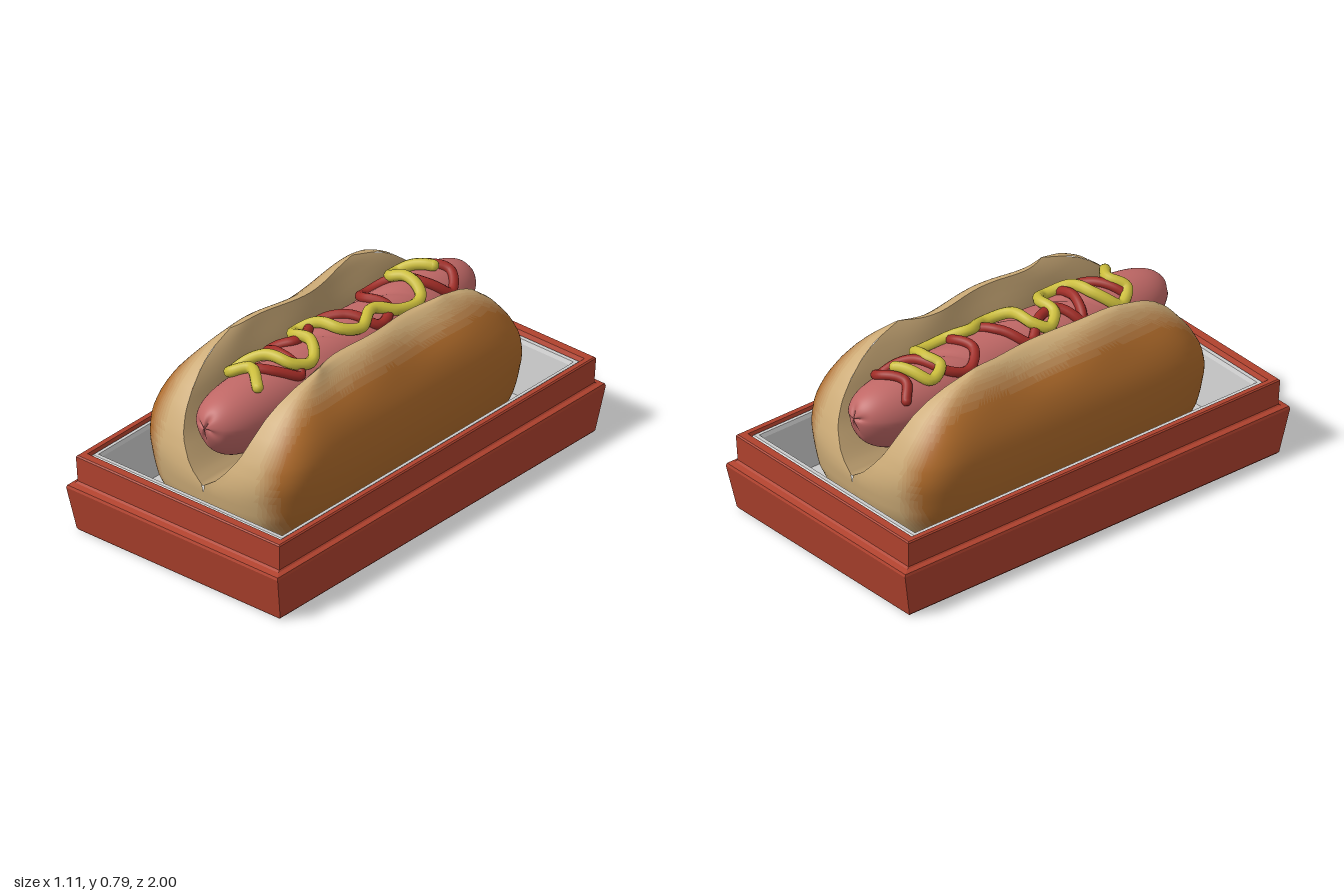
import * as THREE from 'three';

const paint = (color, extra = {}) => new THREE.MeshStandardMaterial({ color, ...extra });

// Surface from rows x cols points; the front side is (row direction) x (column direction).
function grid(rows, cols, wrap, at) {
  const pos = [], index = [];
  for (let i = 0; i < rows; i++) for (let j = 0; j < cols; j++) pos.push(...at(i, j));
  for (let i = 0; i < rows - 1; i++) {
    for (let j = 0; j < (wrap ? cols : cols - 1); j++) {
      const k = (j + 1) % cols;
      const a = i * cols + j, b = a + cols, c = (i + 1) * cols + k, d = i * cols + k;
      index.push(a, b, d, b, c, d);
    }
  }
  const g = new THREE.BufferGeometry();
  g.setAttribute('position', new THREE.Float32BufferAttribute(pos, 3));
  g.setIndex(index);
  g.computeVertexNormals();
  return g;
}

// Piecewise linear lookup in [x, y] pairs sorted by x.
function lookup(table, x) {
  if (x <= table[0][0]) return table[0][1];
  for (let i = 1; i < table.length; i++) {
    const [x0, y0] = table[i - 1], [x1, y1] = table[i];
    if (x <= x1) return y0 + (y1 - y0) * (x - x0) / (x1 - x0);
  }
  return table[table.length - 1][1];
}

const smooth = (pts, n) => new THREE.CatmullRomCurve3(
  pts.map(([x, y]) => new THREE.Vector3(x, y, 0)), false, 'centripetal').getPoints(n).map(p => [p.x, p.y]);

function part(parent, name, geometry, material) {
  const mesh = new THREE.Mesh(geometry, material);
  mesh.name = name;
  parent.add(mesh);
  return mesh;
}

// Rectangular rings [half width, half length, height], joined in order.
const CORNERS = [[1, 1], [-1, 1], [-1, -1], [1, -1]];
const rectLoft = rings => grid(rings.length, 4, true, (i, j) =>
  [CORNERS[j][0] * rings[i][0], rings[i][2], CORNERS[j][1] * rings[i][1]]);

function makeTray() {
  const tray = new THREE.Group();
  tray.name = 'tray';
  const red = paint(0xb0422e, { flatShading: true });
  const grey = paint(0xcccccc, { flatShading: true });
  part(tray, 'trayWalls', rectLoft([
    [0.505, 0.93, 0.03], [0.505, 0.93, 0], [0.528, 0.955, 0], [0.535, 0.96, 0.008],
    [0.556, 1, 0.205], [0.553, 0.996, 0.216], [0.535, 0.97, 0.222], [0.53, 0.96, 0.228],
    [0.535, 0.965, 0.34], [0.53, 0.96, 0.346], [0.508, 0.925, 0.346], [0.502, 0.915, 0.325]]), red);
  part(tray, 'trayBottom', rectLoft([[0, 0, 0.008], [0.49, 0.912, 0.008], [0.49, 0.912, 0.03]]), red);
  part(tray, 'bottomGroove', rectLoft([[0.48, 0.9, 0.02], [0.51, 0.935, 0.02]]), grey);
  part(tray, 'liner', rectLoft([
    [0.503, 0.917, 0.325], [0.497, 0.905, 0.337], [0.483, 0.888, 0.337], [0.477, 0.88, 0.32],
    [0.455, 0.845, 0.1], [0, 0, 0.1]]), grey);
  return tray;
}

// Bun: outer crust profile and inner cut profile, both from the middle out to the lip
const CRUST = smooth([[0, 0.1], [0.22, 0.1], [0.35, 0.16], [0.405, 0.28], [0.422, 0.42], [0.405, 0.54],
  [0.355, 0.65], [0.28, 0.745], [0.235, 0.78], [0.205, 0.787]], 36);
const CUT = smooth([[0, 0.345], [0.05, 0.385], [0.1, 0.465], [0.14, 0.57], [0.165, 0.67], [0.205, 0.787]], 20);
const CUT_X = CUT.map(([x, y]) => [y, x]);
const BUN_END = [[0.1, 0.74], [0.25, 0.8], [0.345, 0.812], [0.42, 0.795], [0.5, 0.762], [0.58, 0.715],
  [0.65, 0.655], [0.71, 0.58], [0.75, 0.5], [0.787, 0.37]];
const BUN_ROWS = 97;

function bunPoint(i, x, y, side, isCrust) {
  const s = Math.sin((i / (BUN_ROWS - 1) - 0.5) * Math.PI);
  const flare = 0.03 * s ** 4 * THREE.MathUtils.clamp((y - 0.345) / 0.15, 0, 1);
  const inner = lookup(CUT_X, y) + flare;
  const close = Math.max(0, 1 - s ** 8) ** 0.4;
  const z = s * lookup(BUN_END, y);
  // uneven lip, a little different on each side
  const lip = THREE.MathUtils.smoothstep(y, 0.6, 0.787) * (1 - s ** 4);
  const px = isCrust ? inner + Math.max(0, x - lookup(CUT_X, y)) * close : inner;
  return [side * (px + lip * 0.014 * Math.sin(z * 11 + side)), y + lip * 0.009 * (Math.sin(z * 8 + side * 0.8) - 1), z];
}

// Sort triangles into shades, pale near the cut and toasted on the flanks.
function toast(geometry, shades) {
  const p = geometry.attributes.position, src = geometry.index.array;
  const buckets = Array.from({ length: shades }, () => []);
  for (let t = 0; t < src.length; t += 3) {
    const tri = [src[t], src[t + 1], src[t + 2]];
    const x = tri.reduce((sum, v) => sum + Math.abs(p.getX(v)), 0) / 3;
    const f = THREE.MathUtils.smoothstep(x, 0.22, 0.37);
    buckets[Math.min(shades - 1, Math.floor(f * shades))].push(...tri);
  }
  geometry.setIndex(buckets.flat());
  let start = 0;
  buckets.forEach((b, k) => { geometry.addGroup(start, b.length, k); start += b.length; });
  const pale = new THREE.Color(0xcbaa76), brown = new THREE.Color(0xae6a2a);
  return buckets.map((_, k) => paint(pale.clone().lerp(brown, k / (shades - 1))));
}

function makeBun() {
  const bun = new THREE.Group();
  bun.name = 'bun';
  const mirrored = (half, first) => [
    ...half.slice(1).reverse().map(p => [...p, first]), ...half.map(p => [...p, -first])];
  const outer = mirrored(CRUST, 1), inner = mirrored(CUT, -1);
  const crust = grid(BUN_ROWS, outer.length, false, (i, j) => bunPoint(i, ...outer[j], true));
  part(bun, 'crust', crust, toast(crust, 8));
  part(bun, 'cutFace', grid(BUN_ROWS, inner.length, false, (i, j) => bunPoint(i, ...inner[j], false)),
    paint(0xb89a6c, { side: THREE.DoubleSide }));
  return bun;
}

// Sausage: domed ends, narrower underside, shallow slashes on top and puckered tips
const sausageRadius = z => Math.sqrt(Math.max(0, 1 - Math.abs(z / 0.8) ** 6));
const sausageCentre = z => 0.575 + 0.03 * Math.abs(z / 0.8) ** 5;
function sausageTop(x, z) {
  const r = sausageRadius(z);
  return sausageCentre(z) + 0.155 * Math.sqrt(Math.max(0, r * r - (x / 0.15) ** 2));
}

function makeSausage() {
  const rows = 121, cols = 48;
  return grid(rows, cols, true, (i, j) => {
    const s = Math.sin((i / (rows - 1) - 0.5) * Math.PI), a = -j / cols * Math.PI * 2;
    const r = sausageRadius(s * 0.8), sin = Math.sin(a), low = Math.max(0, -sin);
    const x = 0.152 * r * Math.cos(a) * (1 - 0.25 * low);
    let y = sausageCentre(s * 0.8) + r * sin * (sin > 0 ? 0.155 : 0.195);
    for (const c of [-0.33, 0.1, 0.32]) {
      y -= 0.012 * Math.max(0, sin) * Math.exp(-(((s * 0.8 + 1.2 * x - c) / 0.03) ** 2));
    }
    const pucker = Math.abs(Math.cos(2 * a + 0.6)) ** 6 * Math.max(0, 1 - r / 0.5);
    return [x, y, s * (0.803 - 0.018 * pucker)];
  });
}

// Sauce line laid over the sausage, with rounded ends
function makeSauce(name, color, radius, lift, path) {
  const sauce = new THREE.Group();
  sauce.name = name;
  const material = paint(color);
  const flat = new THREE.CatmullRomCurve3(path.map(([x, z]) => new THREE.Vector3(x, 0, z)));
  const points = flat.getPoints(100).map(p => new THREE.Vector3(p.x, sausageTop(p.x, p.z) + lift, p.z));
  part(sauce, name + 'Line', new THREE.TubeGeometry(new THREE.CatmullRomCurve3(points), 260, radius, 10), material);
  for (const end of [points[0], points[points.length - 1]]) {
    part(sauce, name + 'End', new THREE.SphereGeometry(radius, 12, 8), material).position.copy(end);
  }
  return sauce;
}

export function createModel() {
  const model = new THREE.Group();
  model.name = 'hotDogInTray';
  model.add(makeTray(), makeBun());
  part(model, 'sausage', makeSausage(), paint(0xc06866));
  model.add(makeSauce('ketchup', 0xa02c26, 0.021, 0.01, [
    [-0.11, -0.62], [-0.06, -0.58], [0.06, -0.63], [0.12, -0.56], [0.06, -0.48], [-0.08, -0.4], [-0.11, -0.29],
    [-0.05, -0.22], [0.07, -0.24], [0.1, -0.14], [-0.02, -0.06], [-0.11, 0.02], [-0.04, 0.13], [-0.03, 0.22],
    [-0.11, 0.29], [-0.02, 0.33], [0.11, 0.34], [0.06, 0.43], [-0.08, 0.53]]));
  model.add(makeSauce('mustard', 0xcbbd3c, 0.024, 0.025, [
    [0.02, -0.57], [-0.1, -0.49], [-0.07, -0.41], [0, -0.43], [0.1, -0.4], [0.1, -0.26], [0.05, -0.16],
    [0.09, -0.05], [0.05, 0.04], [-0.06, 0.07], [-0.1, 0.13], [-0.06, 0.19], [0.03, 0.19], [0.1, 0.26],
    [0.07, 0.36], [-0.05, 0.4], [-0.12, 0.48], [-0.08, 0.55], [-0.01, 0.51], [0.08, 0.57]]));
  return model;
}
